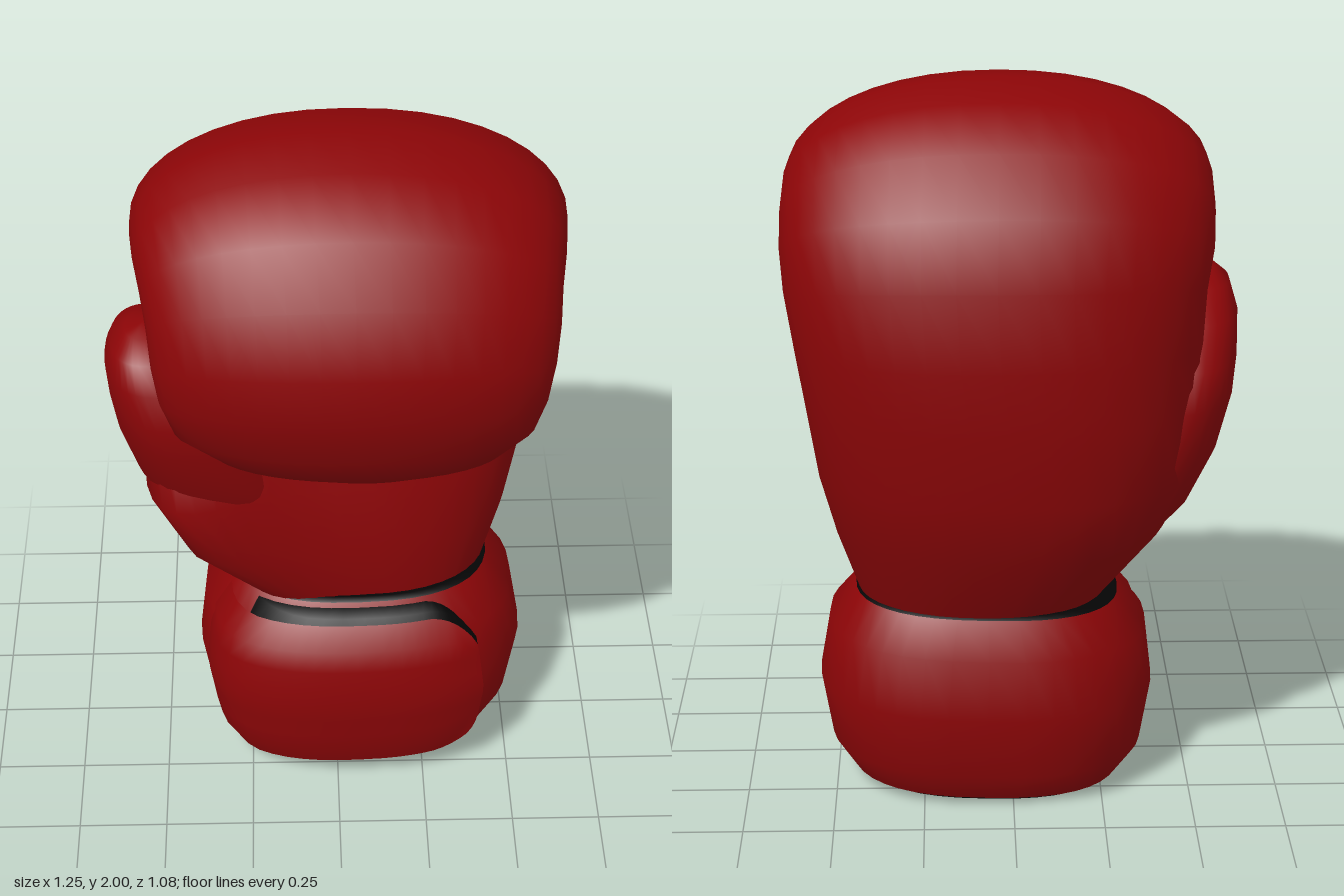
import * as THREE from 'three';

const SIDES = 40;
const red = new THREE.MeshStandardMaterial({ color: 0x8c0507, side: THREE.DoubleSide });
red.name = 'red leather';
const black = new THREE.MeshStandardMaterial({ color: 0x050505, side: THREE.DoubleSide });
black.name = 'black lining';

const bend = (v, n) => Math.sign(v) * Math.abs(v) ** (2 / n);

// Point on a superellipse section spanning back (zb, yb) to front (zf, yf) and x0 to x1;
// lean swells the front of the thumb side (-x)
function sectionPoint([zb, yb, zf, yf, x0, x1, lean = 0], a, n) {
  const c = bend(Math.cos(a), n), s = bend(Math.sin(a), n);
  return new THREE.Vector3(
    (x0 + x1) / 2 + c * (x1 - x0) / 2,
    (yb + yf) / 2 + s * (yb - yf) / 2,
    (zb + zf) / 2 + s * (zb - zf) / 2 + lean * Math.min(0, c) ** 2 * (1 - s) / 2);
}

const section = (r, n) =>
  Array.from({ length: SIDES }, (_, j) => sectionPoint(r, j / SIDES * Math.PI * 2, n));

function makeMesh(name, points, index, material) {
  const g = new THREE.BufferGeometry().setFromPoints(points);
  g.setIndex(index);
  g.computeVertexNormals();
  const m = new THREE.Mesh(g, material);
  m.name = name;
  return m;
}

// Skin closed rings; optional centre points close the two ends
function loft(name, rings, material, start, end) {
  const pts = rings.flat(), idx = [], last = (rings.length - 1) * SIDES;
  for (let j = 0; j < SIDES; j++) {
    const k = (j + 1) % SIDES;
    for (let b = 0; b < last; b += SIDES) {
      idx.push(b + j, b + k, b + SIDES + j, b + k, b + SIDES + k, b + SIDES + j);
    }
    if (start) idx.push(rings.length * SIDES, k, j);
    if (end) idx.push(rings.length * SIDES + (start ? 1 : 0), last + j, last + k);
  }
  if (start) pts.push(start);
  if (end) pts.push(end);
  return makeMesh(name, pts, idx, material);
}

// Cuff sections: y, x0, x1, back z, front z
const CUFF = [
  [0.03, -0.31, 0.46, -0.36, 0.25],
  [0.12, -0.37, 0.515, -0.41, 0.28],
  [0.30, -0.40, 0.545, -0.43, 0.30],
  [0.47, -0.38, 0.515, -0.41, 0.28],
  [0.566, -0.30, 0.44, -0.35, 0.20],
];
const tilt = p => { p.y += 0.03 * p.x + 0.025 * p.z; return p; };
const flat = ([y, x0, x1, z0, z1]) => [z0, y, z1, y, x0, x1];

// Point on the cuff surface, pushed outward by off
function cuffPoint(y, a, off) {
  let i = 0;
  while (i < CUFF.length - 2 && y > CUFF[i + 1][0]) i++;
  const A = CUFF[i], B = CUFF[i + 1], t = (y - A[0]) / (B[0] - A[0]);
  const p = sectionPoint(flat(A.map((v, k) => v + (B[k] - v) * t)), a, 2.5);
  const nrm = new THREE.Vector3(Math.cos(a) * 0.7, 0, -Math.sin(a)).normalize();
  return tilt(p.addScaledVector(nrm, off));
}

// Strap layer with a rounded free end that sinks into the cuff by the angle tail
function strap(name, margin, thickness, tail, material, walls) {
  const cols = 26, rows = 8, grid = [], idx = [];
  const free = -0.91 + margin * 2;
  for (let i = 0; i <= cols; i++) {
    const w = i / cols, d = 2.5 * w ** 1.7;
    const e = Math.max(0, 1 - d / 0.3);
    const round = 0.11 * (1 - Math.sqrt(1 - e * e));
    const lo = 0.08 - 0.035 * w - margin + round, hi = 0.543 + margin - round;
    const fade = 1 - THREE.MathUtils.smoothstep(d - free, tail - 1, tail);
    const off = thickness * fade - 0.03 * (1 - fade);
    for (let j = 0; j <= rows; j++) {
      // border rows drop to the cuff to make the edge walls
      const v = walls ? THREE.MathUtils.clamp((j - 1) / (rows - 2), 0, 1) : j / rows;
      const rim = walls && (j === 0 || j === rows || i === 0);
      const a = walls && i === 1 ? free - 0.014 : free - d;
      grid.push(cuffPoint(lo + (hi - lo) * v, a, rim ? Math.min(-0.015, off) : off));
    }
  }
  for (let i = 0; i < cols; i++) for (let j = 0; j < rows; j++) {
    const p = i * (rows + 1) + j, q = p + rows + 1;
    idx.push(p, p + 1, q, p + 1, q + 1, q);
  }
  return makeMesh(name, grid, idx, material);
}

export function createModel() {
  const glove = new THREE.Group();
  glove.name = 'boxing glove';

  // Hand and curled fingers: back z, back y, front z, front y, x0, x1, lean
  const hand = [
    [-0.33, 0.54, 0.17, 0.54, -0.25, 0.42, 0.08],
    [-0.45, 0.76, 0.205, 0.76, -0.44, 0.49, 0.28],
    [-0.50, 0.94, 0.17, 0.95, -0.535, 0.535, 0.38],
    [-0.525, 1.15, 0.13, 1.15, -0.545, 0.565, 0.34],
    [-0.535, 1.33, 0.115, 1.28, -0.52, 0.59, 0.12],
    [-0.52, 1.54, 0.115, 1.38, -0.525, 0.615],
    [-0.46, 1.72, 0.115, 1.42, -0.545, 0.625],
    [-0.35, 1.87, 0.115, 1.44, -0.55, 0.625],
    [-0.18, 1.965, 0.115, 1.45, -0.55, 0.62],
    [0.00, 2.00, 0.115, 1.45, -0.545, 0.61],
    [0.19, 1.98, 0.115, 1.45, -0.535, 0.60],
    [0.37, 1.89, 0.115, 1.44, -0.515, 0.585],
    [0.48, 1.75, 0.11, 1.42, -0.50, 0.58],
    [0.54, 1.58, 0.105, 1.38, -0.49, 0.57],
    [0.535, 1.43, 0.10, 1.32, -0.475, 0.555],
    [0.50, 1.29, 0.10, 1.25, -0.44, 0.525],
    [0.43, 1.18, 0.115, 1.18, -0.34, 0.45],
    [0.35, 1.115, 0.17, 1.125, -0.15, 0.30],
  ];
  glove.add(loft('hand', hand.map((r, i) => section(r, 2.3 - 0.018 * i)), red,
    null, new THREE.Vector3(0.08, 1.095, 0.26)));

  // Thumb, rising out of the swollen side of the palm: y, x0, x1, back z, front z
  const thumb = [
    [0.70, -0.36, 0.00, -0.28, 0.10],
    [0.85, -0.495, -0.05, -0.34, 0.19],
    [1.00, -0.57, -0.13, -0.36, 0.25],
    [1.15, -0.612, -0.21, -0.35, 0.285],
    [1.25, -0.625, -0.27, -0.30, 0.29],
    [1.35, -0.63, -0.33, -0.19, 0.27],
    [1.42, -0.61, -0.40, -0.08, 0.225],
    [1.455, -0.57, -0.46, 0.01, 0.15],
  ];
  glove.add(loft('thumb', thumb.map(r => section(flat(r), 2.4)), red,
    null, new THREE.Vector3(-0.52, 1.467, 0.08)));

  // Wrist cuff with black lining at both openings
  const ring = r => section(flat(r), 2.5).map(tilt);
  glove.add(loft('cuff', CUFF.map(ring), red));
  glove.add(loft('topLining', [
    ring(CUFF[4]),
    ring([0.576, -0.28, 0.42, -0.335, 0.185]),
  ], black, null, new THREE.Vector3(0.07, 0.576, -0.07)));
  glove.add(loft('bottomLining', [
    ring([0.014, -0.28, 0.43, -0.335, 0.215]),
    ring(CUFF[0]),
  ], black, new THREE.Vector3(0.05, 0, -0.08)));

  // Closing strap over its black edge
  glove.add(strap('strapEdge', 0.011, 0.05, 2.8, black, true));
  glove.add(strap('strap', 0, 0.06, 3.2, red, false));
  return glove;
}
